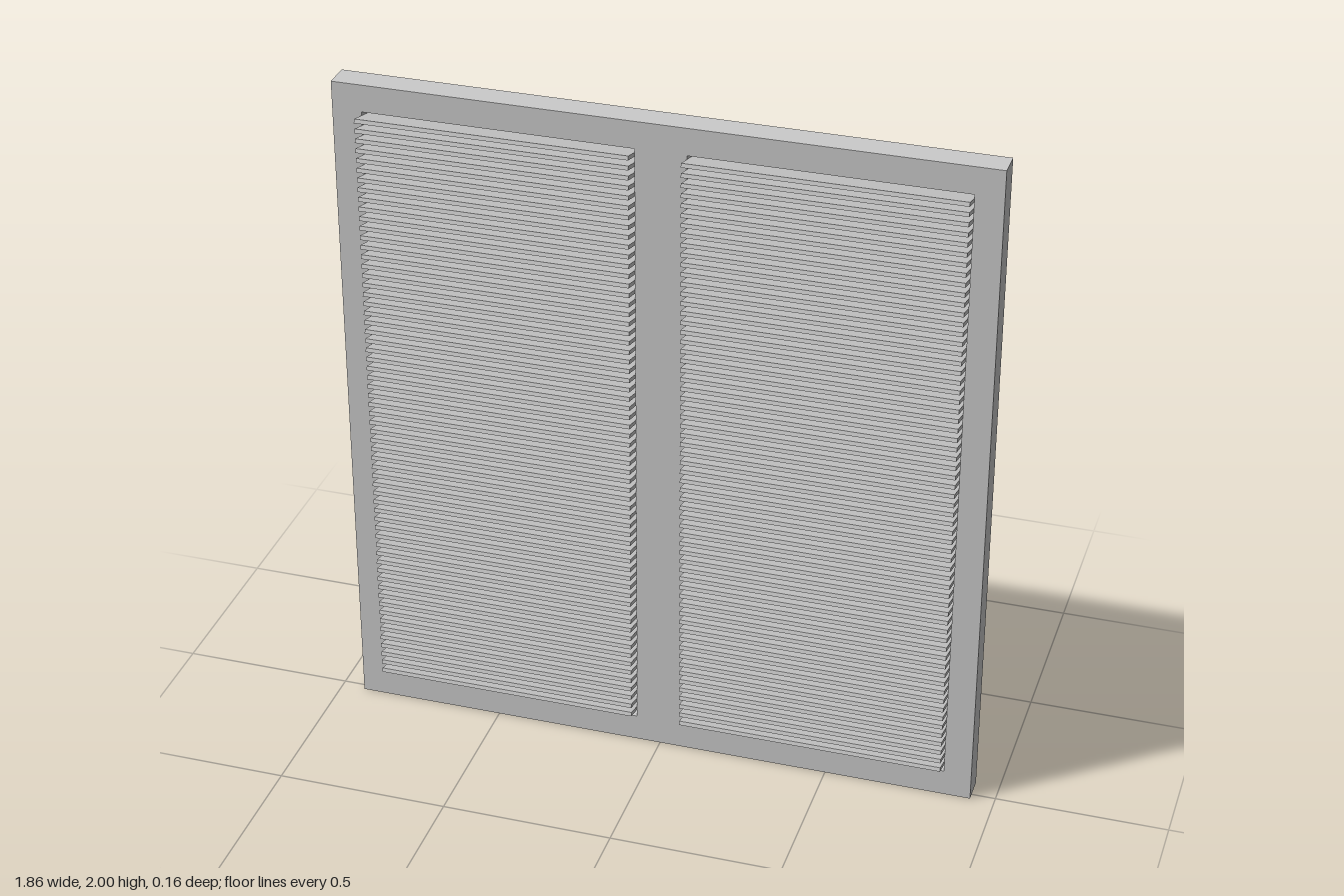
import * as THREE from 'three';

const material = new THREE.MeshStandardMaterial({ color: 0xcccccc });

// Inner edges of the two shutter openings
const OPENINGS = [
  { side: 'right', x0: -0.845, x1: -0.07, bar0: -0.865, bar1: -0.065 },
  { side: 'left', x0: 0.075, x1: 0.85, bar0: 0.055, bar1: 0.855 },
];
const BOTTOM = 0.08, TOP = 1.92;
const BACK = -0.058, FRONT = 0.021;

function box(name, x0, x1, y0, y1, z0, z1) {
  const mesh = new THREE.Mesh(new THREE.BoxGeometry(x1 - x0, y1 - y0, z1 - z0), material);
  mesh.position.set((x0 + x1) / 2, (y0 + y1) / 2, (z0 + z1) / 2);
  mesh.name = name;
  return mesh;
}

function rectangle(target, x0, x1, y0, y1) {
  target.moveTo(x0, y0);
  target.lineTo(x1, y0);
  target.lineTo(x1, y1);
  target.lineTo(x0, y1);
  target.closePath();
  return target;
}

// Flat frame with two tall openings
function createFrame() {
  const shape = rectangle(new THREE.Shape(), -0.93, 0.93, 0, 2);
  for (const o of OPENINGS) {
    shape.holes.push(rectangle(new THREE.Path(), o.x0, o.x1, BOTTOM, TOP));
  }
  const geometry = new THREE.ExtrudeGeometry(shape, { depth: FRONT - BACK, bevelEnabled: false });
  geometry.translate(0, 0, BACK);
  const mesh = new THREE.Mesh(geometry, material);
  mesh.name = 'frame';
  return mesh;
}

// Stack of tilted slats, front edge raised
function createSlats(o) {
  const group = new THREE.Group();
  group.name = o.side + 'Slats';
  const count = 62, tilt = 0.262, first = 0.105, last = 1.899;
  const geometry = new THREE.BoxGeometry(o.x1 - o.x0, 0.012, 0.15);
  for (let i = 0; i < count; i++) {
    const slat = new THREE.Mesh(geometry, material);
    slat.name = 'slat';
    slat.position.set((o.x0 + o.x1) / 2, first + (last - first) * i / (count - 1), 0.005);
    slat.rotation.x = -tilt;
    group.add(slat);
  }
  return group;
}

export function createModel() {
  const model = new THREE.Group();
  model.name = 'louveredShutter';
  model.add(createFrame());
  for (const o of OPENINGS) {
    model.add(createSlats(o));
    // Cross bar on the back of each slat panel
    model.add(box(o.side + 'BackBar', o.bar0, o.bar1, 0.93, 1.09, -0.078, BACK));
  }
  return model;
}
